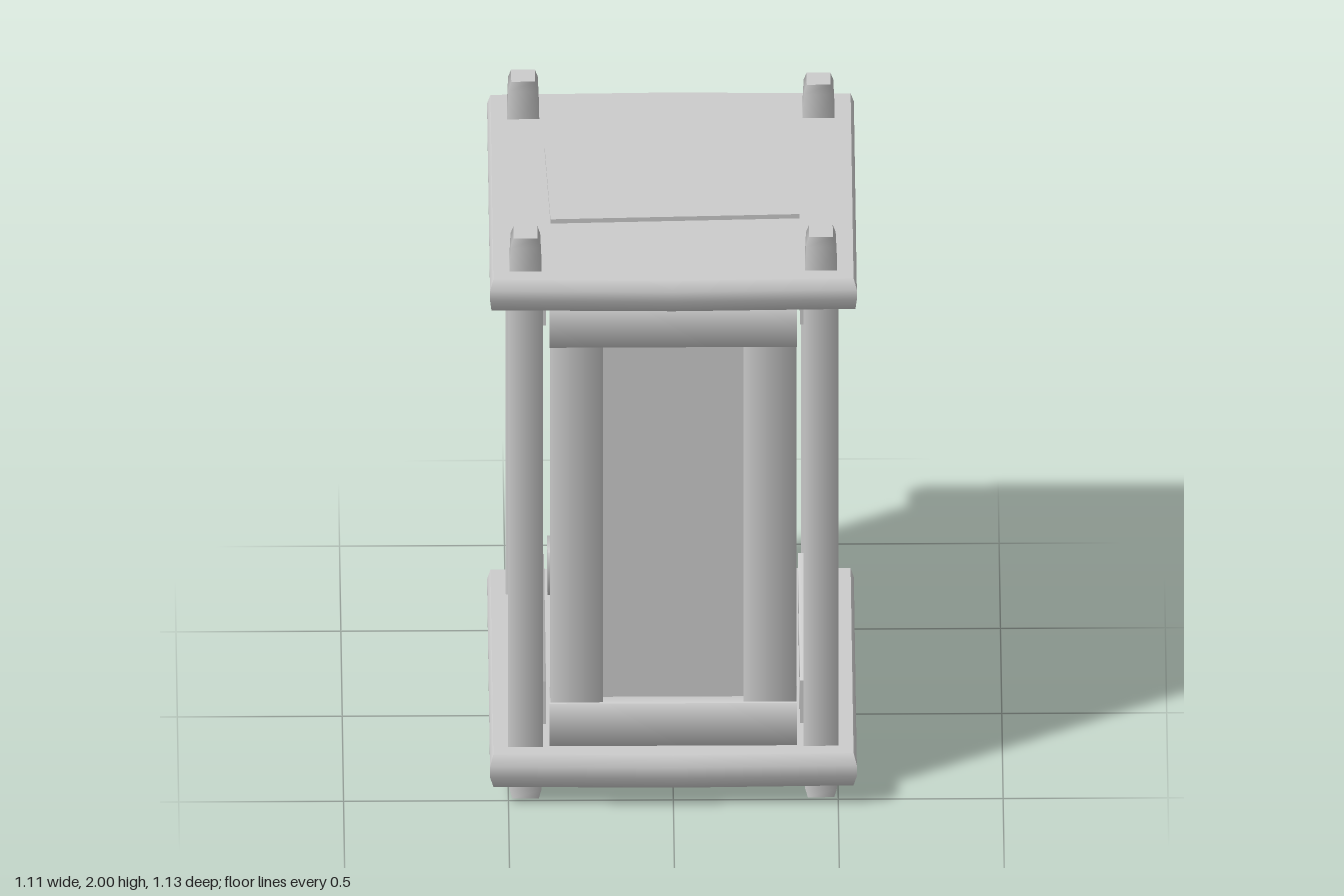
import * as THREE from 'three';

const paint = new THREE.MeshStandardMaterial({ color: 0xcccccc });
paint.name = 'pale grey';

// Adds a named mesh to a parent
function add(parent, name, geometry, x = 0, y = 0, z = 0) {
  const mesh = new THREE.Mesh(geometry, paint);
  mesh.name = name;
  mesh.position.set(x, y, z);
  parent.add(mesh);
  return mesh;
}

// Rounds the shading of a box around its long axis; end faces stay flat
function soften(geometry, axis, amount) {
  const p = geometry.attributes.position, n = geometry.attributes.normal;
  const v = new THREE.Vector3(), m = new THREE.Vector3();
  for (let i = 0; i < p.count; i++) {
    v.fromBufferAttribute(p, i);
    m.fromBufferAttribute(n, i);
    if (Math.abs(m[axis]) > 0.5) continue;
    for (const k of ['x', 'y', 'z']) {
      if (k !== axis && Math.abs(m[k]) < 0.5) m[k] = amount * Math.sign(v[k]);
    }
    m.normalize();
    n.setXYZ(i, m.x, m.y, m.z);
  }
  return geometry;
}

// Square post with narrowed foot and bevelled head
function postGeometry(height) {
  const levels = [[0.005, 0.04], [0.04, 0.048], [0.2, 0.053], [1.77, 0.053],
    [height - 0.03, 0.045], [height, 0.036]];
  const g = new THREE.BoxGeometry(2, 5, 2, 1, 5, 1);
  const p = g.attributes.position;
  for (let i = 0; i < p.count; i++) {
    const [y, r] = levels[Math.round(p.getY(i) + 2.5)];
    p.setXYZ(i, p.getX(i) * r, y, p.getZ(i) * r);
  }
  return soften(g, 'y', 0.7);
}

// Rough slab: uneven outline, softly rounded rim
function slabGeometry(y0, y1, lean) {
  const g = new THREE.BoxGeometry(2, 2, 2, 2, 3, 2);
  const p = g.attributes.position, n = g.attributes.normal;
  for (let i = 0; i < p.count; i++) {
    const x = p.getX(i), z = p.getZ(i), t = (p.getY(i) + 1) / 2;
    const inset = t > 0.9 ? 0.01 : t < 0.1 ? lean : 0;
    const nx = x * (0.556 - inset);
    const nz = z * (0.553 - inset) + (x === 0 ? z * 0.01 : 0);
    p.setXYZ(i, nx, y0 + (y1 - y0) * t, nz);
    if (Math.abs(n.getY(i)) < 0.5) {
      const m = new THREE.Vector3(n.getX(i), (t - 0.5) * 1.6, n.getZ(i)).normalize();
      n.setXYZ(i, m.x, m.y, m.z);
    }
  }
  return g;
}

export function createModel() {
  const model = new THREE.Group();
  model.name = 'lantern';

  // Base and roof slabs
  add(model, 'baseSlab', slabGeometry(0.08, 0.195, 0.01));
  add(model, 'roofSlab', slabGeometry(1.77, 1.875, 0.004));

  // Skewed plate on the roof
  const outline = [[-0.385, 0.225], [-0.37, -0.215], [0.385, -0.19], [0.37, 0.25]];
  const plateShape = new THREE.Shape(outline.map(([x, y]) => new THREE.Vector2(x, y)));
  const plate = new THREE.ExtrudeGeometry(plateShape, { depth: 0.015, bevelEnabled: false });
  plate.rotateX(-Math.PI / 2);
  add(model, 'roofPlate', plate, 0, 1.875, 0);

  // Corner posts, the back right one slightly taller
  for (const sx of [-1, 1]) {
    for (const sz of [-1, 1]) {
      const height = sx < 0 && sz < 0 ? 2 : 1.985;
      add(model, 'cornerPost', postGeometry(height), sx * 0.448, 0, sz * 0.448);
    }
  }

  // Four walls: a pane between two rails, the front one narrowed by stiles
  ['front', 'left', 'back', 'right'].forEach((side, i) => {
    const wall = new THREE.Group();
    wall.name = side + 'Wall';
    wall.rotation.y = i * Math.PI / 2;
    const front = i === 0;
    const face = front ? 0.505 : 0.485;
    for (const y of [0.275, 1.685]) {
      const rail = soften(new THREE.BoxGeometry(0.75, 0.15, 0.1), 'x', 0.7);
      add(wall, 'rail', rail, 0, y, face - 0.05);
    }
    add(wall, 'pane', new THREE.PlaneGeometry(front ? 0.46 : 0.78, 1.26), 0, 0.98, 0.465);
    if (front) {
      for (const s of [-1, 1]) {
        const stile = soften(new THREE.BoxGeometry(0.16, 1.26, 0.1), 'y', 0.7);
        add(wall, 'stile', stile, s * 0.293, 0.98, 0.447);
      }
    }
    model.add(wall);
  });

  return model;
}
